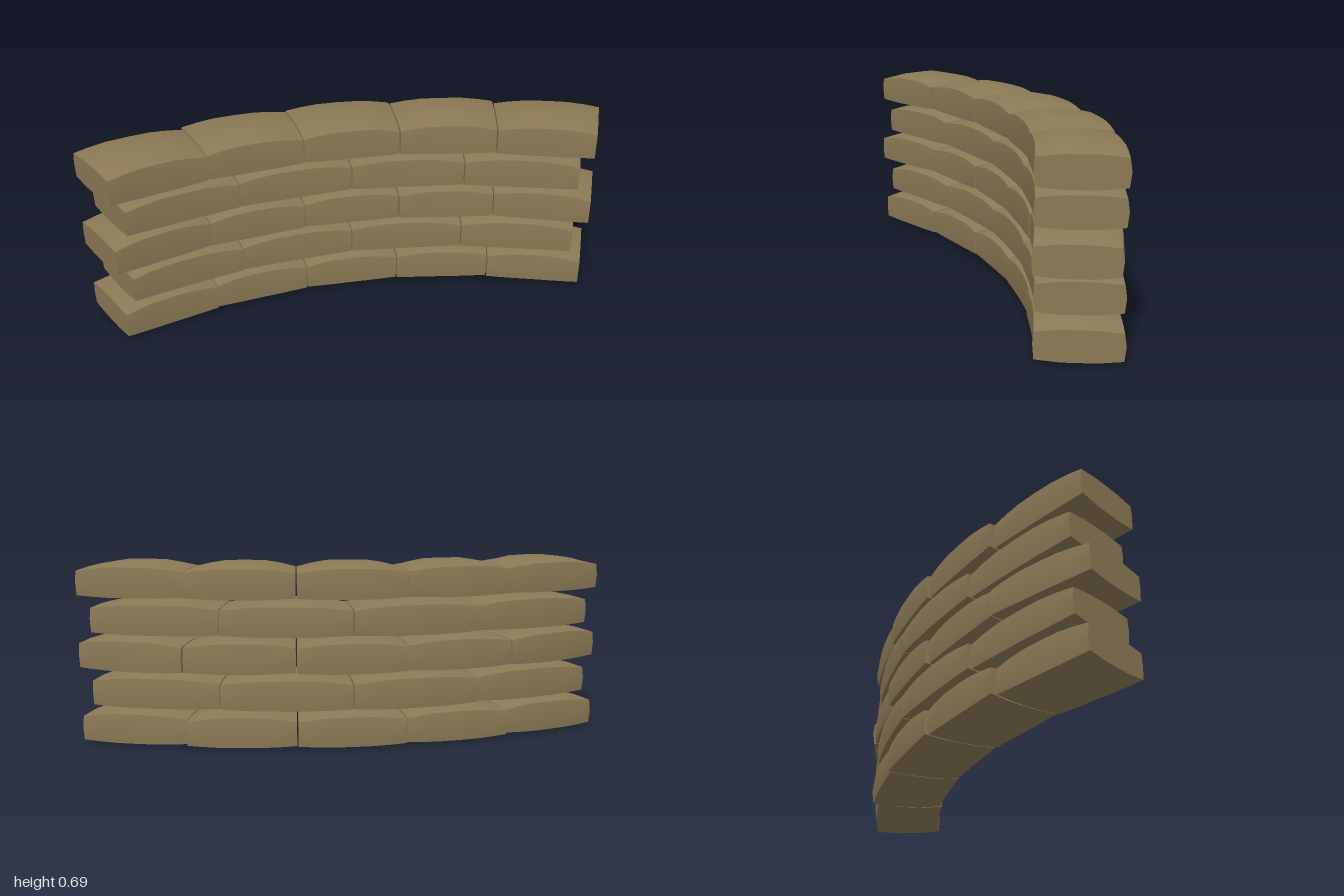
import * as THREE from 'three';
import { toCreasedNormals } from 'three/addons/utils/BufferGeometryUtils.js';

const CENTER_Z = 2.12, INNER = 2.08, OUTER = 2.362;
const lerp = THREE.MathUtils.lerp;

// One curved stone: a rounded cross-section swept along the arc, fuller in the middle.
// shift0 and shift1 push the outer face out at either end.
function stoneGeometry(a0, a1, shift0, shift1) {
  const stations = [0, 0.14, 0.3, 0.5, 0.7, 0.86, 1];
  const fullness = [0, 0.55, 0.95, 1, 0.95, 0.55, 0];
  const pos = [], index = [];
  const n = 10;
  stations.forEach((t, i) => {
    const f = fullness[i], a = lerp(a0, a1, t);
    const shift = lerp(shift0, shift1, t);
    const r0 = INNER + shift * 0.3 + 0.002, r1 = OUTER + shift;
    const w = r1 - r0;
    const lowEdge = lerp(0.015, 0.009, f), low = lerp(0.007, 0, f);
    const topEdge = lerp(0.107, 0.122, f), top = lerp(0.115, 0.14, f);
    const ring = [
      [r0, lowEdge], [r0 + w * 0.3, low], [r0 + w * 0.7, low], [r1, lowEdge],
      [r1 + 0.006, 0.065], [r1, topEdge],
      [r0 + w * 0.7, top], [r0 + w * 0.3, top], [r0, topEdge], [r0 - 0.004, 0.065],
    ];
    for (const [r, y] of ring) pos.push(r * Math.sin(a), y, CENTER_Z - r * Math.cos(a));
  });
  const last = (stations.length - 1) * n;
  for (let i = 0; i < stations.length - 1; i++) {
    for (let j = 0; j < n; j++) {
      const k = (j + 1) % n, p = i * n, q = p + n;
      index.push(p + j, p + k, q + j, p + k, q + k, q + j);
    }
  }
  for (let j = 1; j < n - 1; j++) {
    index.push(0, j + 1, j, last, last + j, last + j + 1);
  }
  const g = new THREE.BufferGeometry();
  g.setAttribute('position', new THREE.Float32BufferAttribute(pos, 3));
  g.setIndex(index);
  return toCreasedNormals(g, 0.45);
}

export function createModel() {
  const wall = new THREE.Group();
  wall.name = 'curvedStoneWall';
  const stone = new THREE.MeshStandardMaterial({ color: 0x8b7955 });
  stone.name = 'brown stone';

  // Courses from the ground up: base height, half angle and
  // outer-face shifts [left end, right end] of each stone
  const five = [[0, -0.02], [0.002, -0.008], [0.004, 0.002], [-0.008, 0.004], [-0.02, 0]];
  const fiveWide = [[-0.012, 0.008], [0.004, -0.006], [0.008, 0.008], [-0.01, 0.004], [0.01, -0.014]];
  const four = [[0, -0.014], [0, 0.011], [0.009, -0.003], [-0.016, 0]];
  const courses = [
    [0, 0.438, five],
    [0.14, 0.418, four],
    [0.277, 0.444, fiveWide],
    [0.415, 0.418, four],
    [0.552, 0.441, five],
  ];
  courses.forEach(([y, half, shifts], c) => {
    const course = new THREE.Group();
    course.name = 'course' + (c + 1);
    course.position.y = y;
    const step = (2 * half) / shifts.length;
    shifts.forEach(([s0, s1], i) => {
      const a0 = -half + i * step + (i ? 0.001 : 0);
      const a1 = -half + (i + 1) * step - (i < shifts.length - 1 ? 0.001 : 0);
      const mesh = new THREE.Mesh(stoneGeometry(a0, a1, s0, s1), stone);
      mesh.name = 'stone' + (i + 1);
      course.add(mesh);
    });
    wall.add(course);
  });
  return wall;
}
